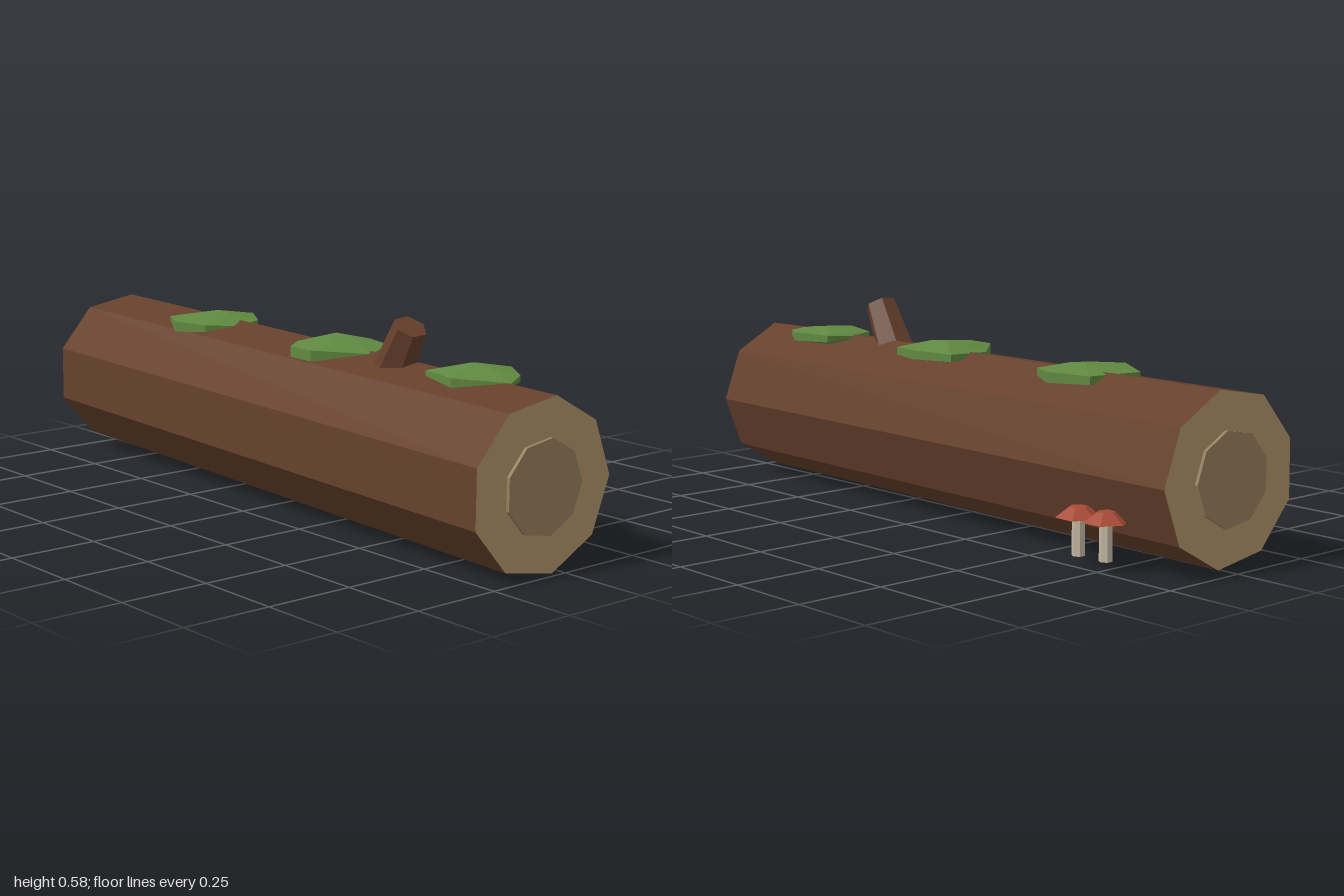
import * as THREE from 'three';
import { ConvexGeometry } from 'three/addons/geometries/ConvexGeometry.js';

const mat = (color) => new THREE.MeshStandardMaterial({ color, flatShading: true });

function addMesh(parent, name, geometry, material, x = 0, y = 0, z = 0) {
  const mesh = new THREE.Mesh(geometry, material);
  mesh.name = name;
  mesh.position.set(x, y, z);
  parent.add(mesh);
  return mesh;
}

// Nine-sided cylinder lying along x, with one corner towards -z
function lyingCylinder(radius, length) {
  return new THREE.CylinderGeometry(radius, radius, length, 9)
    .rotateY(Math.PI)
    .rotateZ(-Math.PI / 2);
}

// Flat faceted cushion: an [x, z] outline with a thin rim and a raised middle
function mossGeometry(outline, peakY) {
  const n = outline.length;
  const cx = outline.reduce((s, p) => s + p[0], 0) / n;
  const cz = outline.reduce((s, p) => s + p[1], 0) / n;
  const points = [];
  outline.forEach(([x, z], i) => {
    const half = 0.003 + 0.08 * Math.abs(z);
    points.push(new THREE.Vector3(x, 0.455 + half, z), new THREE.Vector3(x, 0.454 - half, z));
    if (i % 2 === 0) {
      const inner = (y, k) => new THREE.Vector3(cx + (x - cx) * k, y, cz + (z - cz) * k);
      points.push(inner(peakY - 0.004 * (i / 2), 0.3), inner(0.43, 0.4));
    }
  });
  return new ConvexGeometry(points);
}

export function createModel() {
  const model = new THREE.Group();
  model.name = 'fallenLog';

  const bark = mat(0x66402b);
  const cutWood = mat(0xb0946a);
  const heartWood = mat(0x967f5c);
  const mossGreen = mat(0x618a41);
  const stemMat = mat(0xc4b9a4);
  const capMat = mat(0xa84a36);

  // Trunk, slightly turned and sloping, with raised heartwood discs
  const trunk = new THREE.Group();
  trunk.name = 'trunk';
  trunk.position.set(0, 0.237, 0.028);
  trunk.rotation.set(0, -0.0445, -0.008);
  model.add(trunk);
  addMesh(trunk, 'log', lyingCylinder(0.232, 1.968), [bark, cutWood, cutWood]);
  for (const side of [1, -1]) {
    addMesh(trunk, side > 0 ? 'leftHeartwood' : 'rightHeartwood',
      lyingCylinder(0.127, 0.02), heartWood, side * 0.984);
  }

  // Broken branch stub
  const base = new THREE.Vector3(0.37, 0.405, 0.032);
  const tip = new THREE.Vector3(0.462, 0.562, 0.042);
  const dir = tip.clone().sub(base);
  const stub = addMesh(model, 'branchStub',
    new THREE.CylinderGeometry(0.046, 0.06, dir.length(), 6), bark);
  stub.position.copy(base).add(tip).multiplyScalar(0.5);
  stub.quaternion.setFromUnitVectors(new THREE.Vector3(0, 1, 0), dir.normalize());

  // Moss patches along the top
  const patches = [
    [0.485, [[-0.57, -0.1], [-0.45, -0.14], [-0.355, -0.085], [-0.33, 0.01],
      [-0.37, 0.1], [-0.467, 0.14], [-0.59, 0.07]]],
    [0.49, [[-0.01, -0.09], [0.12, -0.118], [0.22, -0.096], [0.275, 0.016],
      [0.17, 0.145], [0.08, 0.142], [-0.01, 0.043]]],
    [0.482, [[0.56, -0.085], [0.68, -0.118], [0.766, -0.064], [0.815, 0.016],
      [0.7, 0.118], [0.563, 0.08], [0.55, 0]]],
  ];
  patches.forEach(([peakY, outline], i) =>
    addMesh(model, `mossPatch${i + 1}`, mossGeometry(outline, peakY), mossGreen));

  // Two mushrooms at the back: [x, z, cap radius]
  [[-0.665, -0.233, 0.062], [-0.757, -0.227, 0.06]].forEach(([x, z, r], i) => {
    const mushroom = new THREE.Group();
    mushroom.name = `mushroom${i + 1}`;
    mushroom.position.set(x, 0.027, z);
    model.add(mushroom);
    addMesh(mushroom, 'stem', new THREE.CylinderGeometry(0.017, 0.018, 0.104, 6), stemMat, 0, 0.052, 0);
    const cap = new THREE.CylinderGeometry(r * 0.4, r, 0.027, 6).rotateY(Math.PI / 6);
    addMesh(mushroom, 'cap', cap, capMat, 0, 0.115, 0);
  });

  return model;
}
